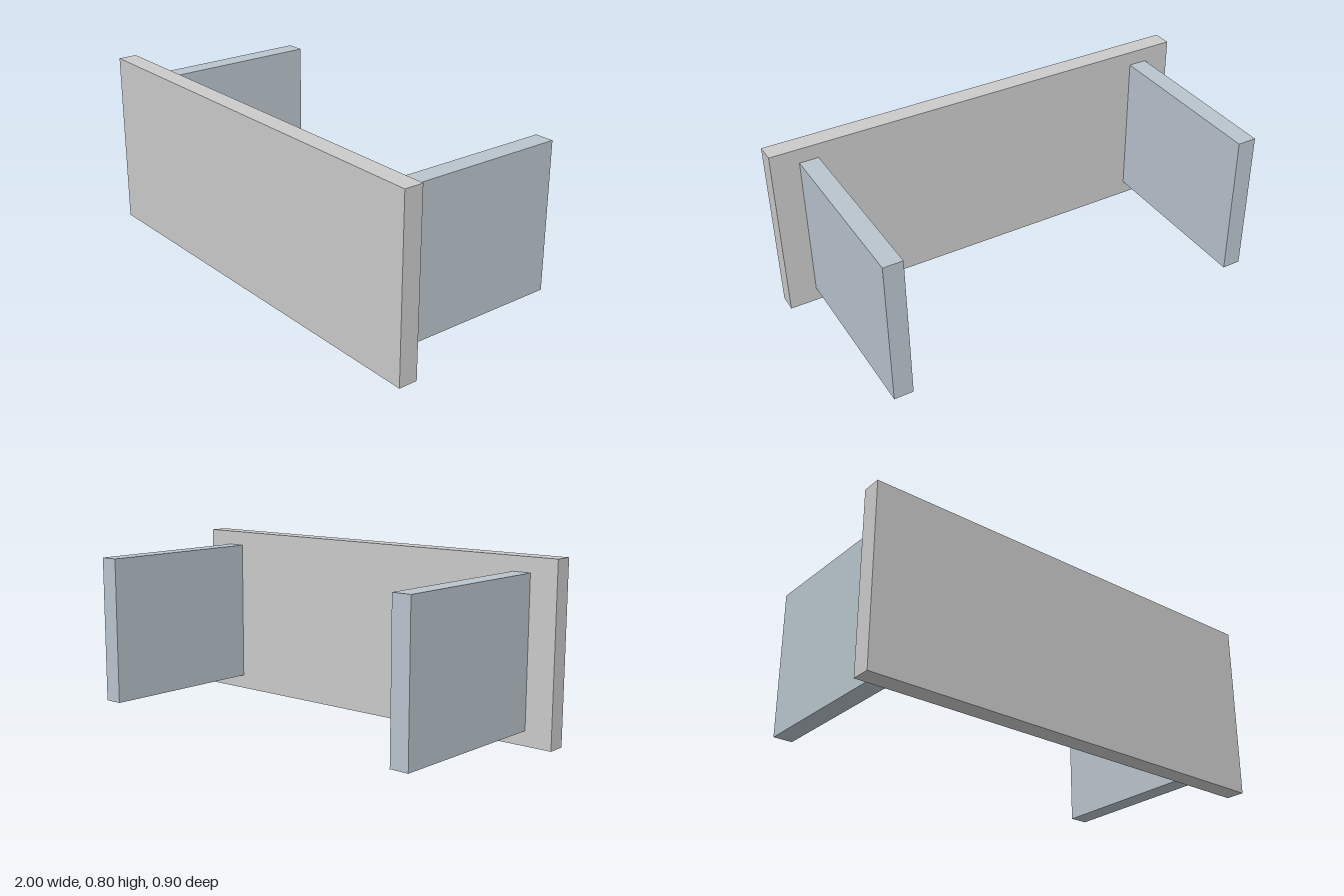
import * as THREE from 'three';

const THICKNESS = 0.086;
const DEPTH = 0.898;

function board(name, size, position, material) {
  const mesh = new THREE.Mesh(new THREE.BoxGeometry(...size), material);
  mesh.name = name;
  mesh.position.set(...position);
  return mesh;
}

export function createModel() {
  const group = new THREE.Group();
  group.name = 'panelWithSupports';
  const grey = new THREE.MeshStandardMaterial({ color: 0xcccccc });
  const blueGrey = new THREE.MeshStandardMaterial({ color: 0xbac5ce });

  // Wide upright panel along the front
  group.add(board('frontPanel', [2, 0.8, THICKNESS], [0, 0.4, (DEPTH - THICKNESS) / 2], grey));

  // Two upright side boards reaching back from the panel
  for (const [name, side] of [['leftSupport', 1], ['rightSupport', -1]]) {
    group.add(board(name, [THICKNESS, 0.667, DEPTH - THICKNESS],
      [side * 0.831, 0.4, -THICKNESS / 2], blueGrey));
  }
  return group;
}
